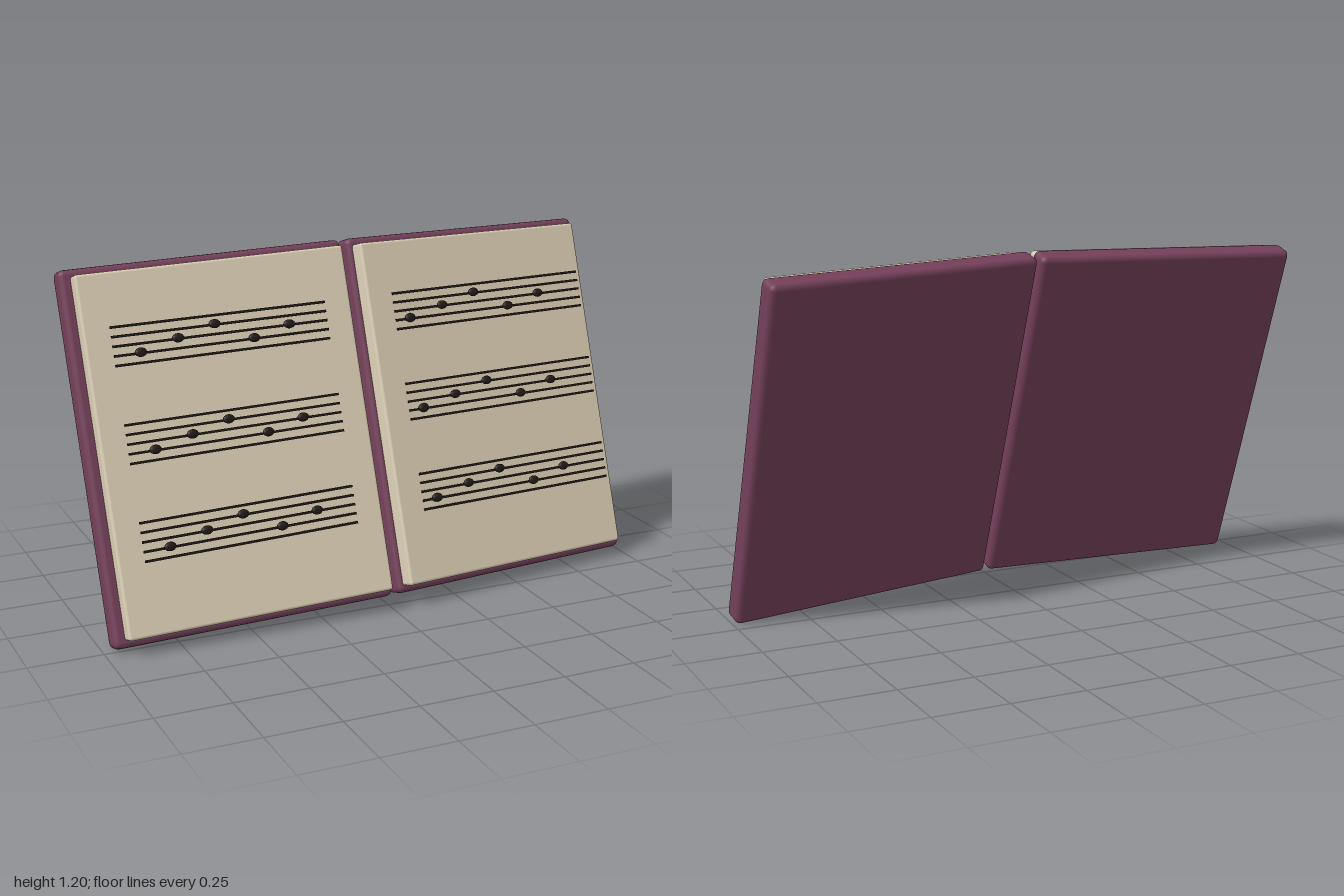
import * as THREE from 'three';
import { RoundedBoxGeometry } from 'three/addons/geometries/RoundedBoxGeometry.js';

const cover = new THREE.MeshStandardMaterial({ color: 0x74405a });
cover.name = 'plum cover';
const paper = new THREE.MeshStandardMaterial({ color: 0xdccfb5 });
paper.name = 'cream paper';
const ink = new THREE.MeshStandardMaterial({ color: 0x211a16 });
ink.name = 'black ink';

function add(parent, name, geometry, material, x, y, z) {
  const mesh = new THREE.Mesh(geometry, material);
  mesh.name = name;
  mesh.position.set(x, y, z);
  parent.add(mesh);
  return mesh;
}

export function createModel() {
  const model = new THREE.Group();
  model.name = 'openMusicBook';

  // Whole book leans back and is turned slightly
  const book = new THREE.Group();
  book.name = 'book';
  book.rotation.set(-0.314, 0.078, 0, 'YXZ');
  book.position.set(0, 0.605, 0.013);
  model.add(book);

  const coverGeo = new RoundedBoxGeometry(0.98, 1.22, 0.08, 2, 0.02);
  const pageGeo = new RoundedBoxGeometry(0.925, 1.17, 0.066, 2, 0.01);
  const lineGeo = new THREE.BoxGeometry(0.76, 0.008, 0.006);
  const noteGeo = new THREE.SphereGeometry(1, 12, 8);
  noteGeo.scale(0.021, 0.015, 0.008);

  const pitch = 0.0305; // gap between staff lines
  const inkZ = 0.124;
  const noteSteps = [-1, 0, 1, -1, 0];

  for (const side of [-1, 1]) {
    const label = side < 0 ? 'right' : 'left';

    // Cover and page block, outer edges folded back
    const half = new THREE.Group();
    half.name = label + 'Half';
    half.position.x = side * 0.498;
    half.rotation.y = side * 0.078;
    book.add(half);
    add(half, label + 'Cover', coverGeo, cover, 0, 0, 0);
    add(half, label + 'Pages', pageGeo, paper, -side * 0.01, 0, 0.058);

    // Three staves of five lines with five notes each
    for (const staffY of [0.341, 0.031, -0.279]) {
      const staff = new THREE.Group();
      staff.name = label + 'Staff';
      staff.position.set(side * 0.51, staffY, inkZ);
      book.add(staff);
      for (let i = -2; i <= 2; i++) add(staff, 'staffLine', lineGeo, ink, 0, i * pitch, 0);
      const start = side < 0 ? -0.29 : -0.325;
      noteSteps.forEach((step, i) =>
        add(staff, 'note', noteGeo, ink, start + i * 0.132, step * pitch + 0.003, 0.002));
    }
  }
  return model;
}
